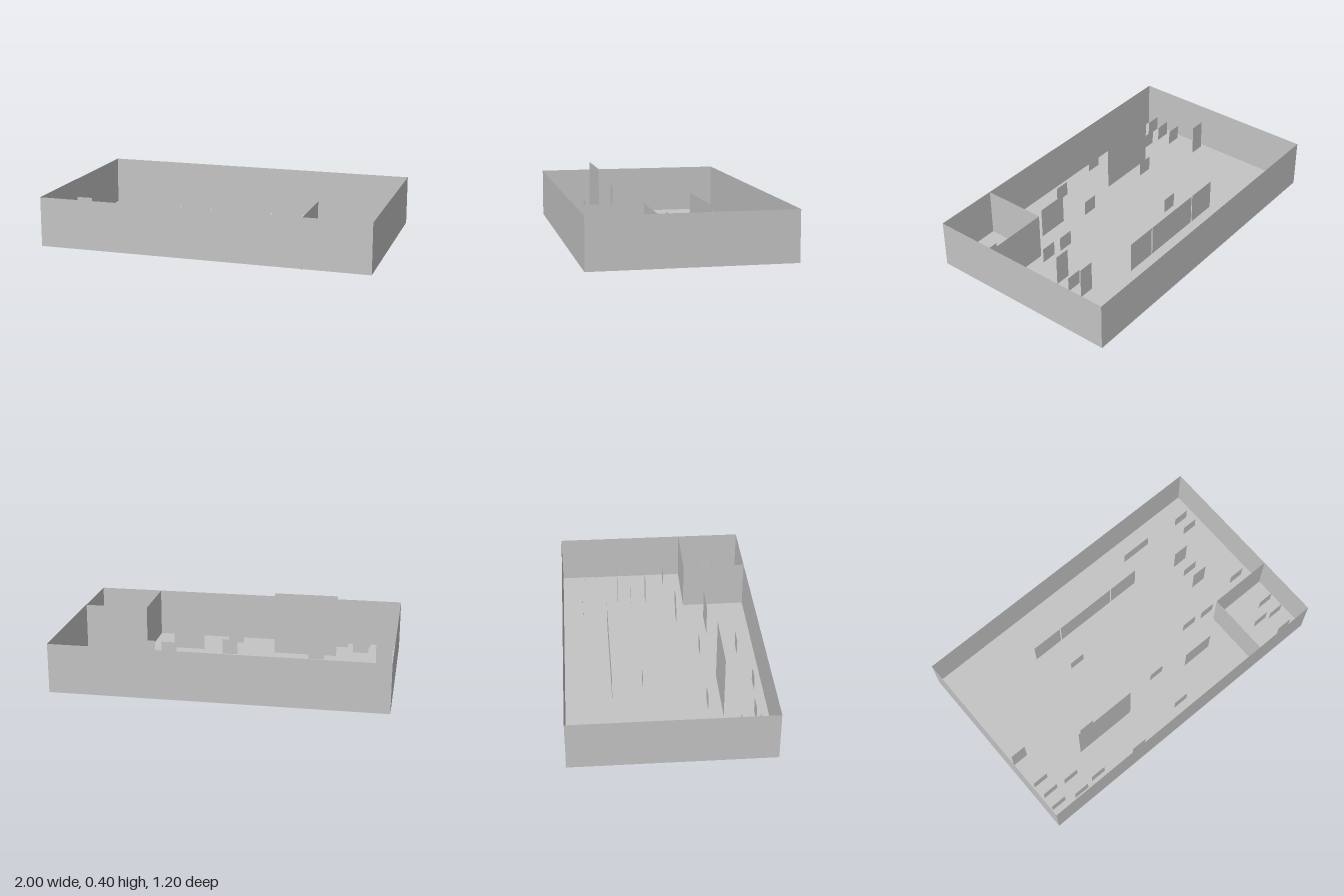
import * as THREE from 'three';

const grey = new THREE.MeshStandardMaterial({ color: 0xc4c4c4, side: THREE.DoubleSide });
grey.name = 'plain grey';

export function createModel() {
  const model = new THREE.Group();
  model.name = 'openRoom';

  // Upright sheet from its ground centre; turned sheets run along z
  function sheet(name, width, x, z, bottom, top, turned = false) {
    const mesh = new THREE.Mesh(new THREE.PlaneGeometry(width, top - bottom), grey);
    mesh.name = name;
    mesh.position.set(x, (bottom + top) / 2, z);
    if (turned) mesh.rotation.y = Math.PI / 2;
    model.add(mesh);
  }

  // Floor
  const floor = new THREE.Mesh(new THREE.PlaneGeometry(2, 1.2), grey);
  floor.name = 'floor';
  floor.rotation.x = -Math.PI / 2;
  floor.position.y = 0.005;
  model.add(floor);

  // Outer walls
  sheet('frontWall', 2, 0, 0.597, 0.005, 0.305);
  sheet('backWall', 2, 0, -0.597, 0.005, 0.305);
  sheet('leftWall', 1.194, 1, 0, 0.005, 0.305, true);
  sheet('rightWall', 1.194, -1, 0, 0.005, 0.305, true);

  // Corner room
  sheet('cornerRoomBackWall', 0.4, 0.8, 0.2, 0, 0.303);
  sheet('cornerRoomSideWall', 0.397, 0.6, 0.3985, 0, 0.303, true);

  // Large upright panels: name, x start, width, z, height
  [
    ['tallScreen', -0.61, 0.4, 0.33, 0.404],
    ['counterRight', -0.438, 0.2, -0.316, 0.203],
    ['counterMiddle', -0.23, 0.4, -0.316, 0.203],
    ['counterLeft', 0.178, 0.2, -0.316, 0.203],
    ['cabinet', 0.25, 0.2, 0.32, 0.203],
    ['lowTable', 0.422, 0.2, -0.47, 0.103],
  ].forEach(([name, x, w, z, h]) => sheet(name, w, x + w / 2, z, 0, h));

  // Narrow tall panels: x start, z
  [[-0.974, 0.13], [0.64, -0.05], [0.645, -0.235]]
    .forEach(([x, z]) => sheet('narrowPanel', 0.1, x + 0.05, z, 0, 0.202));

  // Small seats on the open floor and in the corner room: x start, z
  [
    [0.65, -0.145], [0.845, 0.085], [0.537, 0.147], [0.394, 0.138],
    [0.019, 0.254], [0.017, 0.488], [-0.541, 0.246], [-0.309, -0.126],
    [-0.672, 0.515], [-0.371, 0.543], [-0.81, 0.42], [-0.815, 0.53],
    [-0.965, 0.32], [-0.96, 0.41], [-0.97, 0.5], [0.844, -0.454], [0.846, -0.371],
    [0.87, 0.334], [0.87, 0.43], [0.84, 0.54], [0.76, 0.41],
  ].forEach(([x, z]) => sheet('seat', 0.1, x + 0.05, z, 0, 0.102));

  return model;
}
